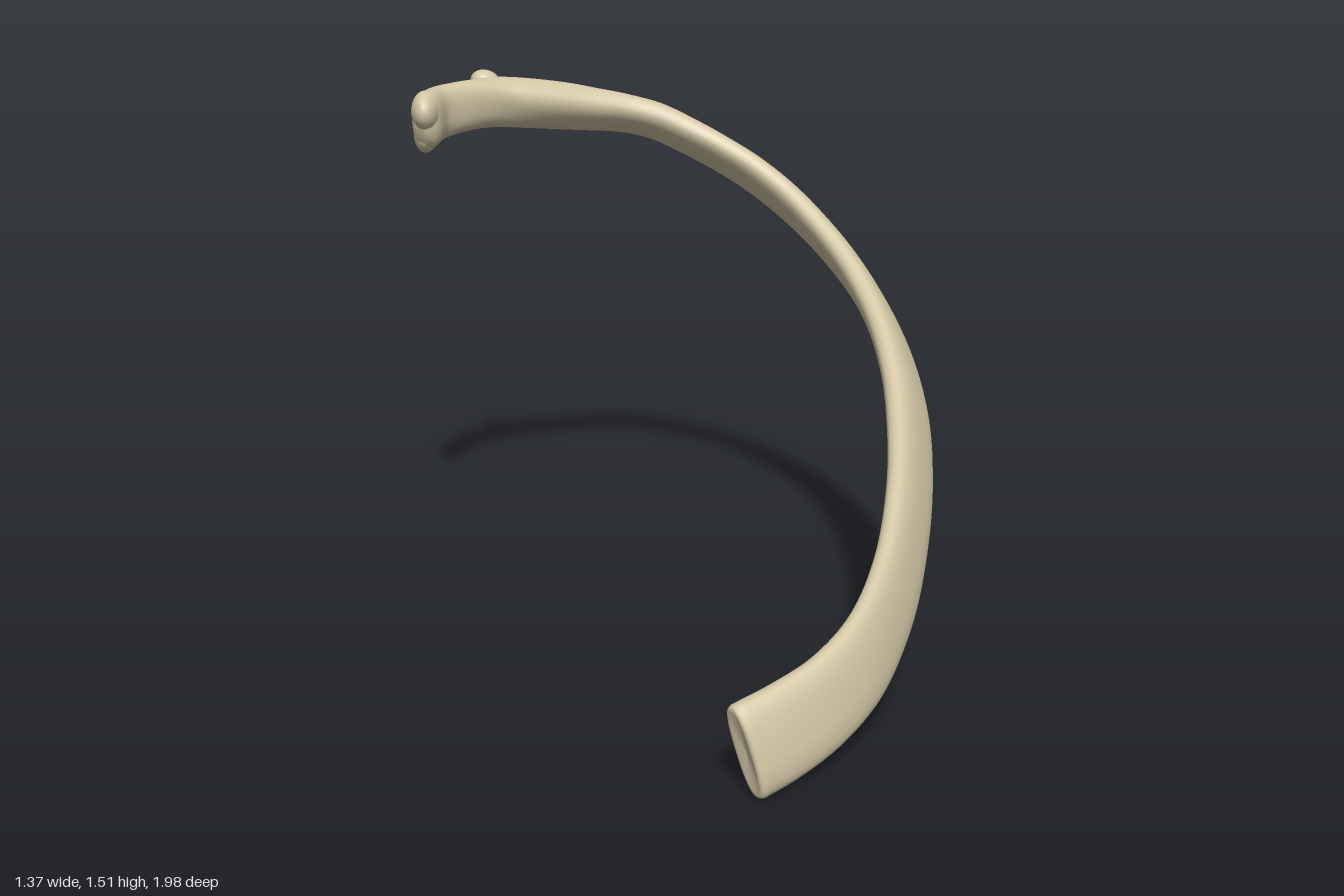
import * as THREE from 'three';

// Stations from head to front end: centre x, y, z, section height, thickness, inward lean in degrees
const STATIONS = [
  [-0.648, 1.405, -0.68, 0.165, 0.085, 0],
  [-0.60, 1.415, -0.76, 0.155, 0.085, 0],
  [-0.50, 1.425, -0.825, 0.148, 0.095, 5],
  [-0.40, 1.425, -0.873, 0.150, 0.12, 20],
  [-0.30, 1.415, -0.890, 0.152, 0.125, 35],
  [-0.20, 1.402, -0.903, 0.155, 0.12, 45],
  [-0.10, 1.386, -0.912, 0.160, 0.11, 55],
  [0.00, 1.370, -0.915, 0.170, 0.10, 62],
  [0.10, 1.344, -0.897, 0.175, 0.095, 62],
  [0.20, 1.295, -0.860, 0.182, 0.09, 58],
  [0.30, 1.237, -0.803, 0.190, 0.085, 54],
  [0.40, 1.165, -0.720, 0.197, 0.085, 49],
  [0.50, 1.060, -0.590, 0.205, 0.085, 44],
  [0.578, 0.925, -0.400, 0.212, 0.085, 39],
  [0.603, 0.795, -0.200, 0.218, 0.085, 35],
  [0.580, 0.667, 0.000, 0.222, 0.085, 31],
  [0.515, 0.545, 0.200, 0.225, 0.082, 26],
  [0.422, 0.437, 0.400, 0.225, 0.078, 21],
  [0.305, 0.325, 0.590, 0.225, 0.075, 17],
  [0.165, 0.235, 0.750, 0.230, 0.073, 14],
  [0.030, 0.178, 0.842, 0.235, 0.075, 13],
  [-0.10, 0.145, 0.900, 0.240, 0.080, 14],
  [-0.205, 0.126, 0.937, 0.240, 0.086, 15],
];
const SIDES = 32;
const STEPS = 150;

// Closed, smooth sweep of a rounded-flat section along the stations
function buildShaft() {
  const path = new THREE.CatmullRomCurve3(STATIONS.map(s => new THREE.Vector3(s[0], s[1], s[2])));
  const size = new THREE.CatmullRomCurve3(
    STATIONS.map(s => new THREE.Vector3(s[3], s[4], s[5])), false, 'catmullrom');
  const up = new THREE.Vector3(0, 1, 0);
  const positions = [], indices = [];

  const addRing = (u, scale, inset, push) => {
    const tangent = path.getTangent(u);
    const centre = path.getPoint(u).addScaledVector(tangent, push);
    const inward = new THREE.Vector3().crossVectors(tangent, up).normalize();
    const rise = new THREE.Vector3().crossVectors(inward, tangent);
    const s = size.getPoint(u);
    const lean = THREE.MathUtils.degToRad(s.z);
    const tall = rise.clone().multiplyScalar(Math.cos(lean)).addScaledVector(inward, Math.sin(lean));
    const thick = inward.clone().multiplyScalar(Math.cos(lean)).addScaledVector(rise, -Math.sin(lean));
    const round = v => Math.sign(v) * Math.abs(v) ** 0.8;
    const h = Math.max(s.x / 2 * scale - inset, 0), t = Math.max(s.y / 2 * scale - inset, 0);
    for (let j = 0; j < SIDES; j++) {
      const a = j / SIDES * Math.PI * 2;
      const p = centre.clone()
        .addScaledVector(tall, h * round(Math.cos(a)))
        .addScaledVector(thick, t * round(Math.sin(a)));
      positions.push(p.x, p.y, p.z);
    }
  };

  // Rounded head end, shaft, then the nearly flat front end with a soft rim
  addRing(0, 0, 0, -0.045);
  addRing(0, 0.5, 0, -0.04);
  addRing(0, 0.85, 0, -0.022);
  for (let i = 0; i <= STEPS; i++) addRing(i / STEPS, 1, 0, 0);
  addRing(1, 1, 0.003, 0.008);
  addRing(1, 1, 0.009, 0.012);
  addRing(1, 1, 0.016, 0.011);
  addRing(1, 0, 0, 0.004);

  const rings = positions.length / 3 / SIDES;
  for (let i = 0; i < rings - 1; i++) {
    for (let j = 0; j < SIDES; j++) {
      const k = (j + 1) % SIDES;
      const a = i * SIDES + j, b = a + SIDES, c = i * SIDES + k, d = c + SIDES;
      indices.push(a, c, b, b, c, d);
    }
  }
  const geometry = new THREE.BufferGeometry();
  geometry.setAttribute('position', new THREE.Float32BufferAttribute(positions, 3));
  geometry.setIndex(indices);
  geometry.computeVertexNormals();
  return geometry;
}

export function createModel() {
  const group = new THREE.Group();
  group.name = 'ribBone';
  const bone = new THREE.MeshStandardMaterial({ color: 0xd3c6a6 });
  bone.name = 'bone';

  const add = (name, geometry) => {
    const mesh = new THREE.Mesh(geometry, bone);
    mesh.name = name;
    group.add(mesh);
    return mesh;
  };
  // Ellipsoid swelling merged into the shaft
  const knob = (name, centre, radii, rotation = [0, 0, 0]) => {
    const mesh = add(name, new THREE.SphereGeometry(1, 28, 20));
    mesh.position.set(...centre);
    mesh.scale.set(...radii);
    mesh.rotation.set(...rotation);
  };

  add('shaft', buildShaft());

  // Head with its upper and lower joint surfaces
  knob('headUpper', [-0.647, 1.43, -0.692], [0.042, 0.06, 0.082], [0, -0.25, 0]);
  knob('headLower', [-0.645, 1.365, -0.715], [0.036, 0.058, 0.06], [0.3, -0.25, 0]);

  // Tubercle behind the neck
  knob('tubercleTop', [-0.432, 1.486, -0.9], [0.045, 0.034, 0.04], [0, 0, -0.25]);
  knob('tubercleFacet', [-0.445, 1.435, -0.915], [0.038, 0.045, 0.036]);

  return group;
}
